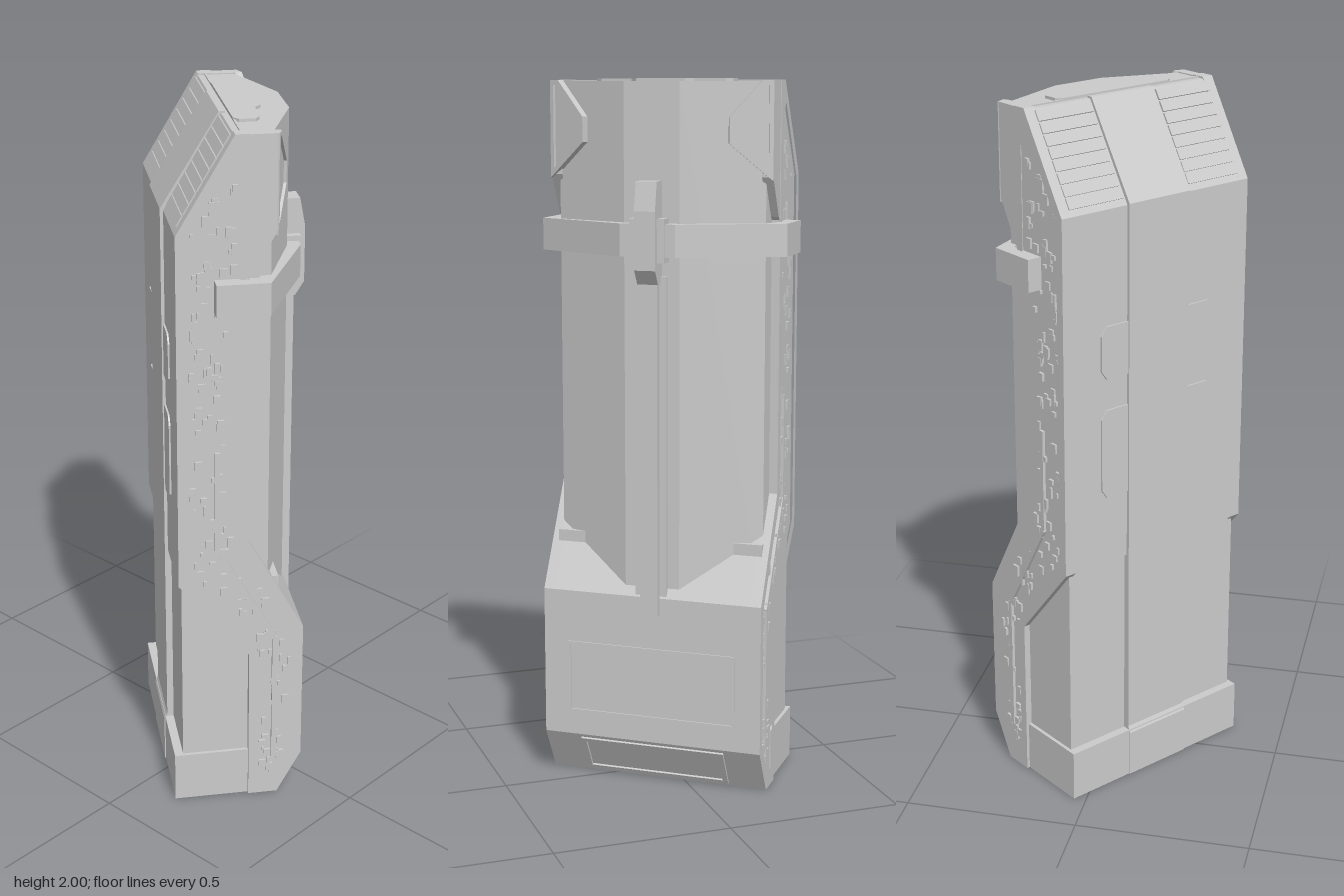
import * as THREE from 'three';

const mat = new THREE.MeshStandardMaterial({ color: 0xcccccc, flatShading: true });

export function createModel() {
  const model = new THREE.Group();
  model.name = 'casing';
  model.rotation.y = 0.911; // the casing stands turned on its base

  const add = (name, geo, parent = model) => {
    const m = new THREE.Mesh(geo, mat);
    m.name = name;
    parent.add(m);
    return m;
  };
  const box = (name, x0, x1, y0, y1, z0, z1, parent) =>
    add(name, new THREE.BoxGeometry(x1 - x0, y1 - y0, z1 - z0)
      .translate((x0 + x1) / 2, (y0 + y1) / 2, (z0 + z1) / 2), parent);
  const extrude = (pts, depth, hole) => {
    const s = new THREE.Shape(pts.map(p => new THREE.Vector2(...p)));
    if (hole) s.holes.push(new THREE.Path(hole.map(p => new THREE.Vector2(...p))));
    return new THREE.ExtrudeGeometry(s, { depth, bevelEnabled: false });
  };
  const flip = pts => pts && pts.map(([a, b]) => [-a, b]);
  // outline in (z, y), extruded from x0 to x1
  const side = (pts, x0, x1, hole) =>
    extrude(flip(pts), x1 - x0, flip(hole)).translate(0, 0, x0).rotateY(Math.PI / 2);
  // outline in (x, z), extruded from y0 to y1
  const plan = (pts, y0, y1) =>
    extrude(pts.map(([x, z]) => [x, -z]), y1 - y0).translate(0, 0, y0).rotateX(-Math.PI / 2);
  const rect = (w, h) => [[-w, -h], [w, -h], [w, h], [-w, h]];
  const mirrorPts = half => [...half, ...half.map(([x, z]) => [-x, z]).reverse()];

  // Main body
  add('backShell', side([[-0.185, 0.72], [0.01, 0.72], [0.01, 1.995], [-0.03, 1.995], [-0.185, 1.74]], -0.3, 0.3));
  add('facetedFront', plan(mirrorPts([[-0.3, -0.02], [-0.3, 0.07], [-0.08, 0.155]]), 0.5, 1.995));
  box('lowerBack', -0.305, 0.305, 0.14, 0.72, -0.175, 0.1);
  add('base', side([[0, 0], [0.1, 0], [0.17, 0.13], [0.17, 0.56], [0.01, 0.85], [0, 0.85]], -0.3, 0.3));

  // Foot, open underneath behind the base
  box('footBackWall', -0.315, 0.315, 0, 0.15, -0.2, -0.175);
  for (const s of [-1, 1]) box('footSideWall', s * 0.3025 - 0.0125, s * 0.3025 + 0.0125, 0, 0.15, -0.19, 0.02);

  // Spine running down the back and over the top bevel
  add('spine', side([[-0.203, 0], [-0.17, 0], [-0.17, 1.73], [-0.02, 1.985], [-0.02, 2], [-0.036, 2],
    [-0.194, 1.745], [-0.194, 0.16], [-0.203, 0.14]], -0.106, 0.106));

  // Framed panels on the base
  const frontPanel = add('frontPanelFrame', extrude(rect(0.25, 0.105), 0.004, rect(0.243, 0.098)));
  frontPanel.position.set(0, 0.305, 0.17);
  const lowPanel = new THREE.Group();
  lowPanel.name = 'lowerPanel';
  lowPanel.position.set(0, 0.066, 0.1355);
  lowPanel.rotation.x = Math.atan2(0.07, 0.13);
  add('lowerPanelFrame', extrude(rect(0.215, 0.062), 0.006, rect(0.2, 0.05)), lowPanel);
  model.add(lowPanel);

  // Front rail, clip and strap
  box('railBed', -0.046, 0.046, 0.53, 1.47, 0.14, 0.167);
  box('rail', -0.026, 0.026, 0.51, 1.47, 0.14, 0.187);
  add('clip', side([[0.15, 1.45], [0.19, 1.45], [0.215, 1.49], [0.215, 1.65], [0.2, 1.73], [0.15, 1.73]], -0.03, 0.03));
  box('clipCollar', -0.05, 0.05, 1.51, 1.63, 0.15, 0.2);
  const strap = [[-0.358, -0.083], [-0.358, 0.06], [-0.08, 0.193], [0.08, 0.193], [0.358, 0.06], [0.358, -0.083],
    [0.315, -0.083], [0.315, 0.036], [0.075, 0.155], [-0.075, 0.155], [-0.315, 0.036], [-0.315, -0.083]];
  add('strap', plan(strap, 1.525, 1.615));

  // Cap plate on the top
  add('capPlate', plan(mirrorPts([[-0.18, -0.012], [-0.197, 0.002], [-0.197, 0.045], [-0.18, 0.058], [-0.09, 0.062],
    [-0.07, 0.08]]), 1.99, 2.003));

  // Side panel outline, its trench, and the trench limits by height for the fittings
  const outline = [[0.1, 0], [0.17, 0.13], [0.17, 0.56], [0.01, 0.85], [0.01, 2], [-0.03, 2],
    [-0.185, 1.74], [-0.185, 0.72], [0.015, 0.48], [0.015, 0]];
  const front = [[0.09, 0.05], [0.145, 0.15], [0.145, 0.545], [-0.015, 0.84], [-0.015, 1.14], [-0.05, 1.2],
    [-0.05, 1.35], [-0.015, 1.42], [-0.015, 1.9], [-0.04, 1.94]];
  const back = [[0.04, 0.05], [0.04, 0.49], [-0.16, 0.74], [-0.16, 1.73], [-0.04, 1.94]];
  const trench = [...front, ...back.slice(0, -1).reverse()];
  const at = (line, y) => {
    const i = Math.max(1, line.findIndex(p => p[1] >= y));
    const [a, b] = [line[i - 1], line[i]];
    return a[0] + (b[0] - a[0]) * (y - a[1]) / (b[1] - a[1]);
  };

  for (const s of [-1, 1]) {
    const half = new THREE.Group();
    half.name = s > 0 ? 'leftSide' : 'rightSide';
    half.scale.x = -s; // parts are laid out on the -x side
    model.add(half);

    add('sidePlate', side(outline, -0.311, -0.29), half);
    add('sideFrame', side(outline, -0.324, -0.3, trench), half);
    // inner rails dividing the trench
    const rail = [[-0.075, 1.12], [-0.075, 0.82], [0.09, 0.53], [0.09, 0.12]];
    for (let i = 1; i < rail.length; i++) {
      const [a, b] = [rail[i - 1], rail[i]];
      const len = Math.hypot(b[0] - a[0], b[1] - a[1]);
      const m = add('innerRail', new THREE.BoxGeometry(0.016, len, 0.014), half);
      m.position.set(-0.312, (a[1] + b[1]) / 2, (a[0] + b[0]) / 2);
      m.rotation.x = Math.atan2(b[0] - a[0], b[1] - a[1]);
    }
    // small fittings scattered in the trench
    let seed = 7;
    const rnd = () => (seed = (seed * 16807) % 2147483647) / 2147483647;
    for (let i = 0; i < 130; i++) {
      const y = 0.08 + rnd() * 1.8, z0 = at(back, y) + 0.012, z1 = at(front, y) - 0.012;
      const m = add('fitting', new THREE.BoxGeometry(0.01, 0.008 + rnd() * 0.024, 0.006 + rnd() * 0.016), half);
      m.position.set(-0.311 - rnd() * 0.003, y, z0 + rnd() * Math.max(0, z1 - z0));
    }

    // cheek wrapping the top front corner
    add('cheekSide', side([[0, 1.61], [0.02, 1.63], [0.08, 1.74], [0.08, 1.998], [0, 1.998]], -0.322, -0.29), half);
    const cheekShape = [[0, 1.73], [0.12, 1.83], [0.12, 1.9], [0.03, 1.998], [0, 1.998]];
    const cheekHole = [[0.012, 1.757], [0.108, 1.837], [0.108, 1.895], [0.025, 1.985], [0.012, 1.985]];
    const cheek = new THREE.Group();
    cheek.name = 'cheekFront';
    cheek.position.set(-0.315, 0, 0.063);
    cheek.rotation.y = -0.368;
    add('cheekPlate', extrude(cheekShape, 0.014), cheek);
    add('cheekRim', extrude(cheekShape, 0.022, cheekHole), cheek);
    half.add(cheek);

    // slatted vent on the top bevel
    const vent = new THREE.Group();
    vent.name = 'vent';
    vent.position.set(-0.203, 1.868, -0.1075);
    vent.rotation.x = -1.034;
    for (let i = 0; i < 8; i++) {
      const z = -0.13 + i * 0.0345;
      box('slat', -0.09, 0.09, -0.005, 0.005, z, z + 0.03, vent);
    }
    half.add(vent);
    box('deckSlot', -0.29, -0.18, 1.99, 1.999, -0.012, -0.005, half);

    // pads on the back beside the spine
    for (const [y0, y1] of [[0.92, 1.18], [1.27, 1.42]]) {
      const pad = [[-0.1, y0], [-0.1, y1], [-0.18, y1], [-0.198, y1 - 0.025], [-0.198, y0 + 0.025], [-0.18, y0]];
      add('backPad', extrude(pad, 0.01).translate(0, 0, -0.19), half);
    }
  }
  const group = new THREE.Group();
  group.add(model);
  return group;
}
